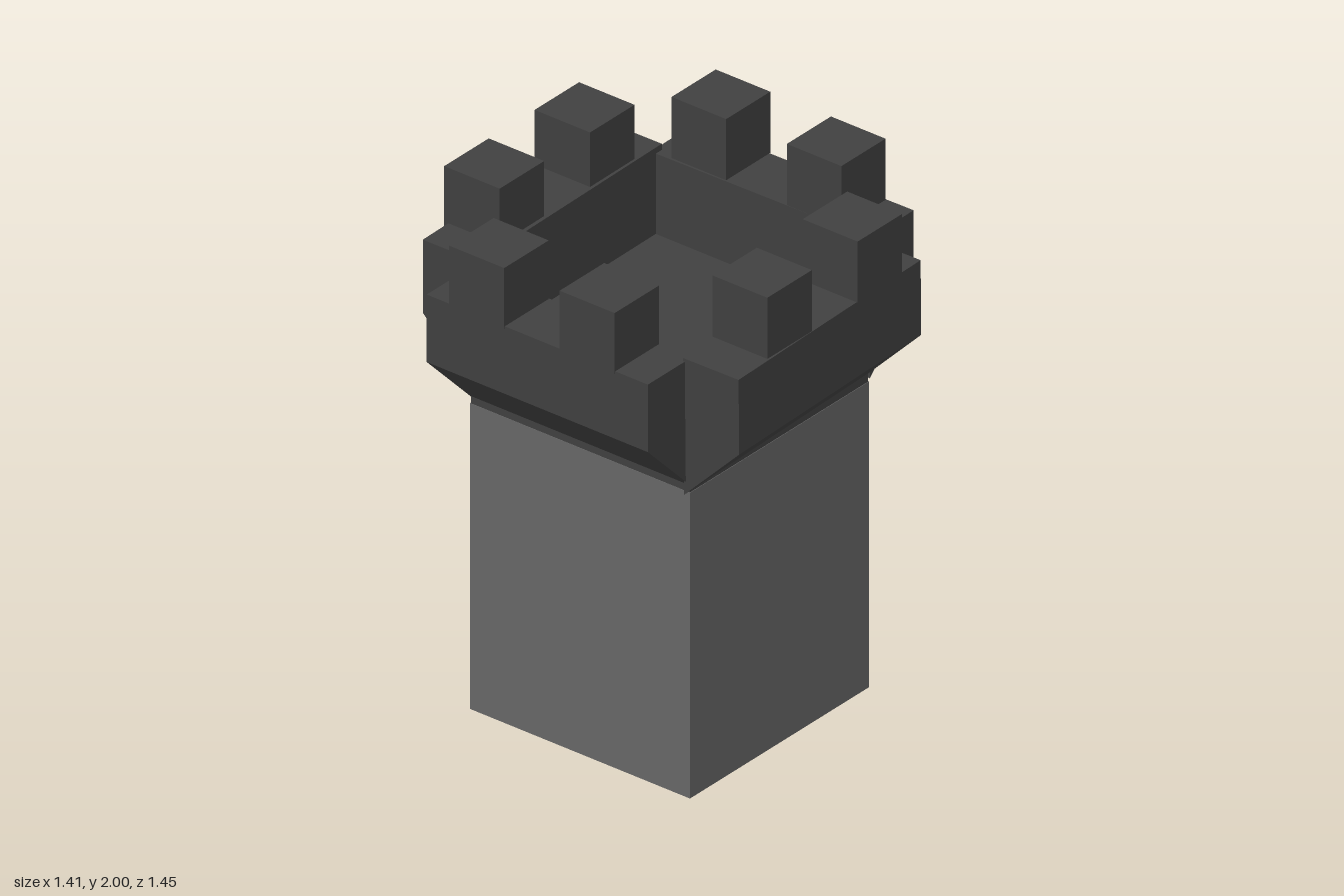
import * as THREE from 'three';

export function createModel() {
  const tower = new THREE.Group();
  tower.name = 'tower';
  const stone = new THREE.MeshStandardMaterial({ color: 0x666666, flatShading: true });
  const dark = new THREE.MeshStandardMaterial({ color: 0x404040, flatShading: true });

  // Box given by its limits on each axis
  function block(name, material, [x0, x1], [y0, y1], [z0, z1]) {
    const mesh = new THREE.Mesh(new THREE.BoxGeometry(x1 - x0, y1 - y0, z1 - z0), material);
    mesh.position.set((x0 + x1) / 2, (y0 + y1) / 2, (z0 + z1) / 2);
    mesh.name = name;
    tower.add(mesh);
  }

  // Shaft and the floor sunk behind the parapets
  block('shaft', stone, [-0.49, 0.47], [0, 1.2], [-0.475, 0.49]);
  block('floor', dark, [-0.488, 0.468], [1.2, 1.44], [-0.473, 0.488]);

  // Overhanging parapet: vertical inner face, outer face with a sloped underside
  function parapet(name, { angle, yaw = 0, roll = 0, length, height, at }) {
    const profile = new THREE.Shape();
    profile.moveTo(0, 0);
    profile.lineTo(0.24, 0.245);
    profile.lineTo(0.24, height);
    profile.lineTo(0, height);
    profile.closePath();
    const geometry = new THREE.ExtrudeGeometry(profile, { depth: length, bevelEnabled: false });
    geometry.translate(0, 0, -length / 2);
    geometry.rotateY(-Math.PI / 2);
    const mesh = new THREE.Mesh(geometry, dark);
    mesh.position.set(...at);
    mesh.rotation.set(0, angle + yaw, roll);
    mesh.name = name;
    tower.add(mesh);
  }

  // The four parapets sit slightly askew, like roughly laid masonry
  const quarter = Math.PI / 2;
  parapet('frontParapet', { angle: 0, length: 0.965, height: 0.51, at: [-0.01, 1.22, 0.48] });
  parapet('leftParapet', {
    angle: quarter, yaw: 0.015, roll: 0.012, length: 1.0, height: 0.54, at: [0.457, 1.208, 0.015],
  });
  parapet('rightParapet', {
    angle: -quarter, yaw: 0.008, roll: -0.008, length: 1.0, height: 0.535, at: [-0.455, 1.24, -0.01],
  });
  parapet('backParapet', {
    angle: Math.PI, yaw: 0.015, length: 0.945, height: 0.55, at: [-0.008, 1.205, -0.48],
  });

  // Two merlons on every parapet
  for (const x of [-0.392, 0.09]) {
    block('frontMerlon', dark, [x, x + 0.24], [1.72, 1.96], [0.483, 0.723]);
  }
  for (const x of [-0.393, 0.11]) {
    block('backMerlon', dark, [x, x + 0.238], [1.76, 2.0], [-0.715, -0.477]);
  }
  for (const z of [-0.37, 0.117]) {
    block('leftMerlon', dark, [0.46, 0.7], [1.75, 1.99], [z, z + 0.24]);
    block('rightMerlon', dark, [-0.71, -0.468], [1.75, 1.99], [z, z + 0.24]);
  }
  return tower;
}
